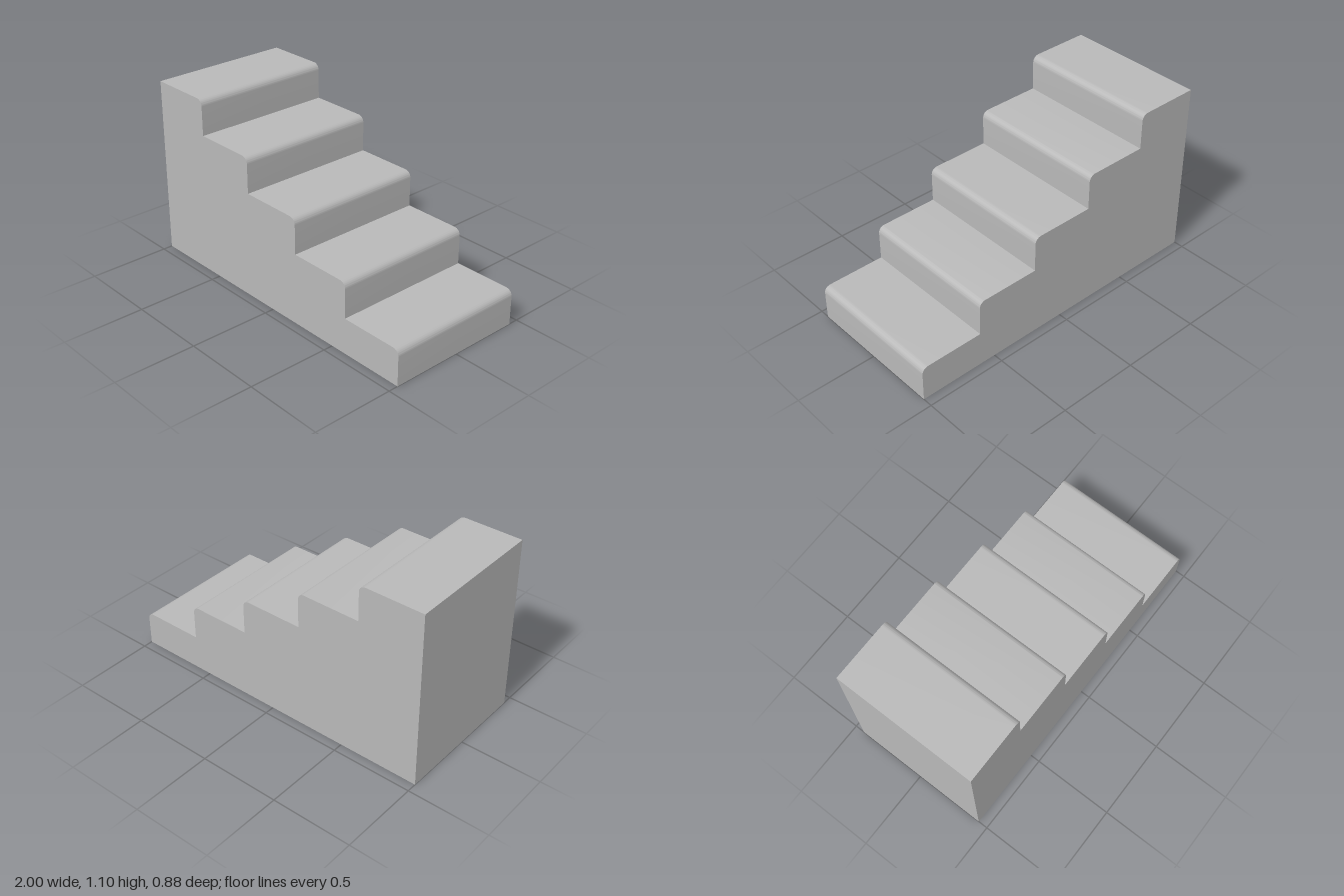
import * as THREE from 'three';
import { toCreasedNormals } from 'three/addons/utils/BufferGeometryUtils.js';

const STEPS = 5, TREAD = 0.4, RISE = 0.22, DEPTH = 0.88, NOSE = 0.04;

export function createModel() {
  const group = new THREE.Group();
  group.name = 'staircase';

  const stone = new THREE.MeshStandardMaterial({ color: 0xb8b8b8 });
  stone.name = 'grey stone';

  // Side profile: climbs from the low step at +x to the top step at -x
  const profile = new THREE.Shape();
  profile.moveTo(-1, 0);
  profile.lineTo(1, 0);
  for (let i = 0; i < STEPS; i++) {
    const x = 1 - i * TREAD, y = (i + 1) * RISE;
    // riser, rounded nosing, then tread
    profile.lineTo(x, y - NOSE);
    profile.absarc(x - NOSE, y - NOSE, NOSE, 0, Math.PI / 2, false);
    profile.lineTo(x - TREAD, y);
  }
  profile.closePath();

  // Solid flight of steps, smooth only across the nosings
  const solid = new THREE.ExtrudeGeometry(profile, {
    depth: DEPTH, bevelEnabled: false, curveSegments: 8,
  });
  solid.translate(0, 0, -DEPTH / 2);
  const steps = new THREE.Mesh(toCreasedNormals(solid, 0.5), stone);
  steps.name = 'steps';
  group.add(steps);

  return group;
}
